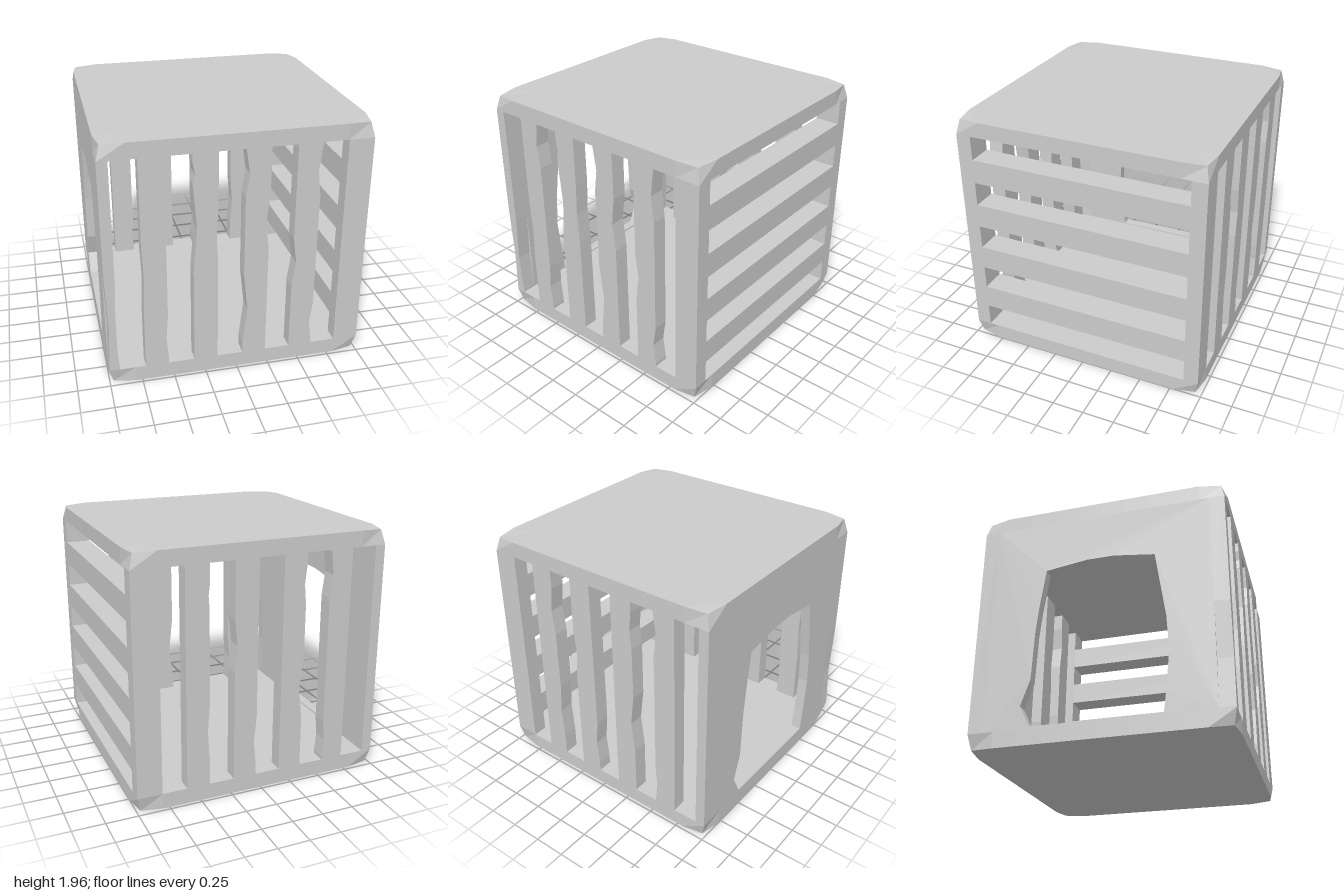
import * as THREE from 'three';

const X = 1, Z = 0.975, H = 1.96;           // outer half width, half depth, height
const LOW = 0.123, HIGH = 1.838, INNER_Z = 0.858, INNER_L = -0.92, INNER_R = 0.805;

const material = new THREE.MeshStandardMaterial({ color: 0xcccccc, flatShading: true });

function add(parent, name, geometry) {
  const mesh = new THREE.Mesh(geometry, material);
  mesh.name = name;
  parent.add(mesh);
  return mesh;
}

// Slab whose four outer corners are worn back
function slab(y0, y1, outerY) {
  const g = new THREE.BoxGeometry(2 * X, y1 - y0, 2 * Z, 10, 1, 10);
  g.translate(0, (y0 + y1) / 2, 0);
  const p = g.attributes.position;
  for (let i = 0; i < p.count; i++) {
    const x = p.getX(i), y = p.getY(i), z = p.getZ(i);
    const corner = Math.abs(x) > X - 0.01 && Math.abs(z) > Z - 0.01;
    if (corner && Math.abs(y - outerY) < 0.01) {
      p.setX(i, x - Math.sign(x) * 0.03);
      p.setZ(i, z - Math.sign(z) * 0.025);
      p.setY(i, y + Math.sign(H / 2 - y) * 0.008);
    }
  }
  g.computeVertexNormals();
  return g;
}

// Points up one bar edge; each bite is [height, depth, half length]
function edge(x, inward, bites = []) {
  const points = [[x, LOW]];
  for (const [y, depth, half] of bites) {
    points.push([x, Math.max(y - half, LOW + 0.01)], [x + inward * depth, y],
      [x, Math.min(y + half, HIGH - 0.01)]);
  }
  points.push([x, HIGH]);
  return points;
}

const bars = [[-X, INNER_L], [-0.72, -0.54], [-0.34, -0.155],
  [0.045, 0.23], [0.425, 0.61], [INNER_R, X]];

// Gnawed places, keyed by the bar number and its side
const frontBites = {
  '0a': [[0.5, 0.015, 0.44]], '0b': [[0.47, 0.02, 0.4]],
  '1a': [[0.85, 0.012, 0.3]], '1b': [[0.35, 0.015, 0.2], [1.65, 0.022, 0.18]],
  '2a': [[1.25, 0.028, 0.35], [1.68, 0.015, 0.08]], '2b': [[1.2, 0.012, 0.25]],
  '3a': [[0.52, 0.033, 0.3], [1.65, 0.026, 0.18]], '3b': [[1.25, 0.026, 0.22]],
  '4a': [[0.88, 0.026, 0.2]], '4b': [[0.32, 0.024, 0.17], [1.62, 0.024, 0.2]],
};
const backBites = {
  '1b': [[0.3, 0.012, 0.15], [1.65, 0.022, 0.18]],
  '2a': [[0.77, 0.03, 0.25], [1.6, 0.015, 0.15]],
  '3a': [[0.4, 0.02, 0.2]], '3b': [[1.2, 0.02, 0.2]],
  '4a': [[0.55, 0.018, 0.25], [1.49, 0.025, 0.2]],
};

// Row of upright bars making the front or back wall
function barWall(name, z, bites) {
  const wall = new THREE.Group();
  wall.name = name;
  bars.forEach(([a, b], i) => {
    const outline = [...edge(b, -1, bites[i + 'b']), ...edge(a, 1, bites[i + 'a']).reverse()];
    const shape = new THREE.Shape(outline.map(([x, y]) => new THREE.Vector2(x, y)));
    const g = new THREE.ExtrudeGeometry(shape, { depth: Z - INNER_Z, bevelEnabled: false });
    add(wall, i === 0 || i === 5 ? 'cornerPost' : 'uprightBar', g.translate(0, 0, z));
  });
  return wall;
}

export function createModel() {
  const crate = new THREE.Group();
  crate.name = 'slattedCrate';

  add(crate, 'floor', slab(0, LOW, 0));
  add(crate, 'roof', slab(HIGH, H, H));
  crate.add(barWall('frontWall', INNER_Z, frontBites), barWall('backWall', -Z, backBites));

  // Deep horizontal slats on the +x side
  const slats = new THREE.Group();
  slats.name = 'sideSlats';
  for (let i = 0; i < 4; i++) {
    const g = new THREE.BoxGeometry(X - INNER_R, 0.192, 2 * INNER_Z);
    add(slats, 'slat', g.translate((X + INNER_R) / 2, 0.402 + i * 0.383, 0));
  }
  crate.add(slats);

  // Thin side wall with a rough doorway; shape x runs along z
  const wall = new THREE.Shape([[-INNER_Z, LOW], [INNER_Z, LOW], [INNER_Z, HIGH], [-INNER_Z, HIGH]]
    .map(([z, y]) => new THREE.Vector2(z, y)));
  wall.holes.push(new THREE.Path([[-0.5, 0.138], [-0.58, 0.3], [-0.51, 0.5], [-0.495, 0.88],
    [-0.475, 1.08], [-0.43, 1.41], [-0.1, 1.455], [0.11, 1.455], [0.43, 1.41], [0.48, 1.08],
    [0.51, 0.88], [0.527, 0.61], [0.5, 0.3], [0.48, 0.13]].map(([z, y]) => new THREE.Vector2(z, y))));
  const door = new THREE.ExtrudeGeometry(wall, { depth: X + INNER_L, bevelEnabled: false });
  add(crate, 'doorWall', door.rotateY(-Math.PI / 2).translate(INNER_L, 0, 0));

  return crate;
}
